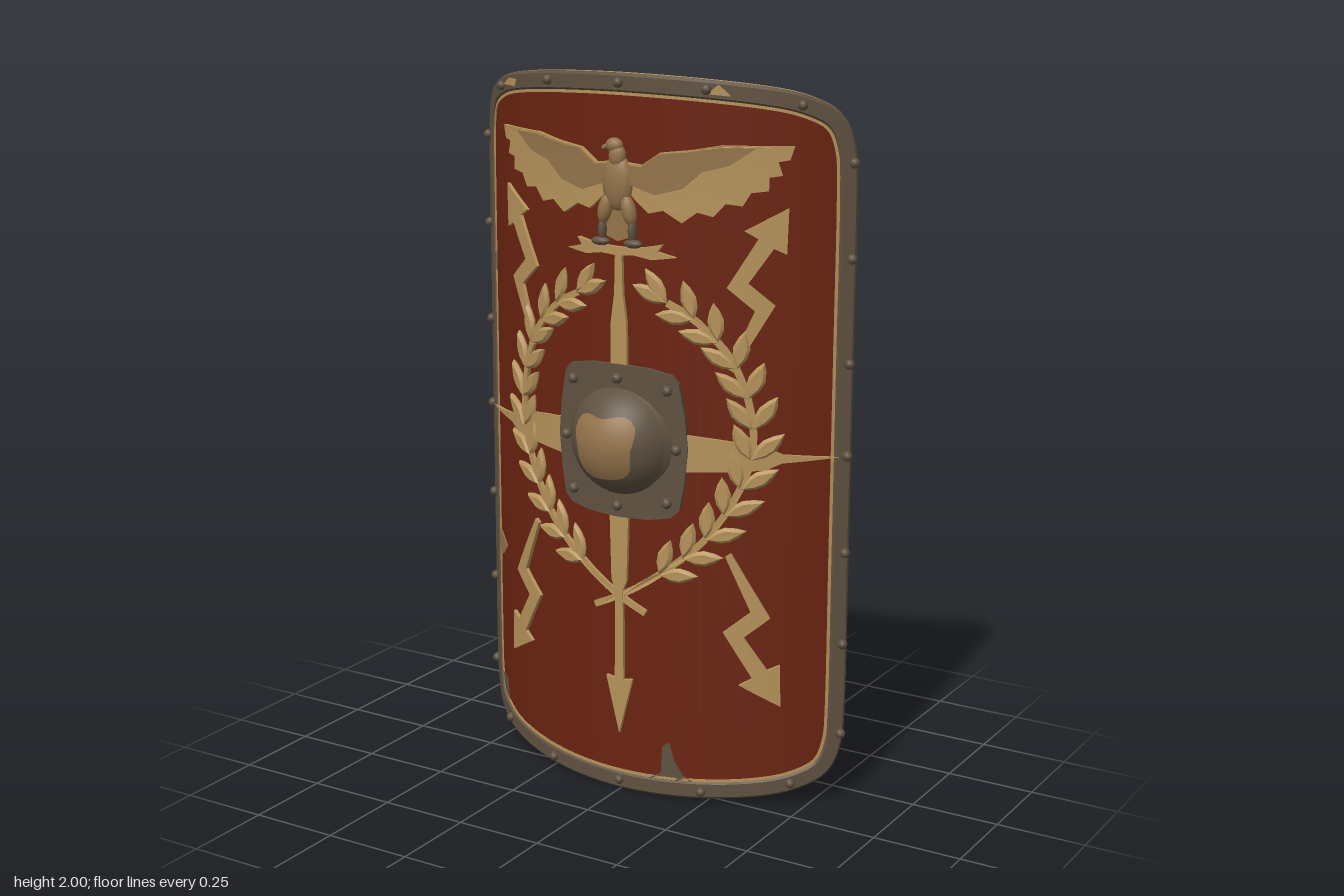
import * as THREE from 'three';
import { mergeGeometries, toCreasedNormals } from 'three/addons/utils/BufferGeometryUtils.js';

const R = 0.82, ZC = -0.745; // radius and axis of the curved board
const flat = (x) => R * Math.asin(x / R); // front-view x to distance along the curve
const bend = (u, y, d) => [(R + d) * Math.sin(u / R), y, ZC + (R + d) * Math.cos(u / R)];

export function createModel() {
  const model = new THREE.Group();
  model.name = 'shield';
  const material = (name, color) => Object.assign(new THREE.MeshStandardMaterial({ color }), { name });
  const red = material('red paint', 0x6a2310);
  const gold = material('gold', 0xb5925a);
  const tan = material('dull bronze', 0x94734a);
  const metal = material('dark iron', 0x5f5140);

  const add = (name, geo, mat) => {
    const mesh = new THREE.Mesh(geo, mat);
    mesh.name = name;
    model.add(mesh);
    return mesh;
  };

  // surface through a grid of points, columns to the right and rows downward
  const grid = (cols, rows, at) => {
    const pos = [], index = [];
    for (let i = 0; i <= cols; i++) for (let j = 0; j <= rows; j++) pos.push(...at(i, j));
    for (let i = 0; i < cols; i++) for (let j = 0; j < rows; j++) {
      const a = i * (rows + 1) + j, b = a + rows + 1;
      index.push(a, a + 1, b + 1, a, b + 1, b);
    }
    const geo = new THREE.BufferGeometry();
    geo.setAttribute('position', new THREE.Float32BufferAttribute(pos, 3));
    geo.setIndex(index);
    geo.computeVertexNormals();
    return geo;
  };

  // split every triangle in four
  const split = (pos) => {
    const out = [];
    for (let k = 0; k < pos.length; k += 9) {
      const [a, b, c] = [0, 3, 6].map((o) => [pos[k + o], pos[k + o + 1], pos[k + o + 2]]);
      const mid = (p, q) => p.map((v, n) => (v + q[n]) / 2);
      const ab = mid(a, b), bc = mid(b, c), ca = mid(c, a);
      out.push(...[a, ab, ca, ab, b, bc, ca, bc, c, ab, bc, ca].flat());
    }
    return out;
  };

  // flat outline thickened and wrapped onto the curved board
  const plate = (pts, d0, depth, splits = 2, bevel = 0) => {
    const shape = new THREE.Shape(pts.map(([x, y]) => new THREE.Vector2(flat(x), y)));
    const ext = new THREE.ExtrudeGeometry(shape, {
      depth, bevelEnabled: bevel > 0, bevelSize: bevel, bevelThickness: bevel, bevelOffset: -bevel, bevelSegments: 1,
    });
    let pos = Array.from((ext.index ? ext.toNonIndexed() : ext).attributes.position.array);
    for (let n = 0; n < splits; n++) pos = split(pos);
    for (let k = 0; k < pos.length; k += 3) {
      [pos[k], pos[k + 1], pos[k + 2]] = bend(pos[k], pos[k + 1], pos[k + 2] + d0);
    }
    const geo = new THREE.BufferGeometry();
    geo.setAttribute('position', new THREE.Float32BufferAttribute(pos, 3));
    geo.computeVertexNormals();
    return toCreasedNormals(geo, 0.45);
  };
  const mirror = (pts) => pts.map(([x, y]) => [-x, y]);
  const both = (pts) => [pts, mirror(pts)];
  // raised ornament on the front and its painted silhouette on the back
  const ornament = (name, list, mat, depth = 0.012, splits = 2) => {
    add(name, mergeGeometries(list.map((p) => plate(p, -0.002, depth, splits))), mat);
    add(name + 'Back', mergeGeometries(list.map((p) => plate(p, -0.03, 0.003, splits))), mat);
  };

  // board outline, clockwise from the left side over the top
  const quarter = [[0.577, 1], [0.577, 1.3], [0.577, 1.7], [0.57, 1.83], [0.54, 1.91], [0.47, 1.955], [0.37, 1.978], [0.2, 1.994]];
  const half = [...mirror(quarter), [0, 2], ...quarter.slice().reverse()];
  const top = new THREE.SplineCurve(half.map(([x, y]) => new THREE.Vector2(flat(x), y))).getPoints(80);
  const loop = [...top, ...top.slice(1, -1).reverse().map((p) => new THREE.Vector2(p.x, 2 - p.y))];
  const N = loop.length;
  const inset = (i, w) => {
    const p = loop[i % N];
    const t = loop[(i + 1) % N].clone().sub(loop[(i + N - 1) % N]).normalize();
    return [p.x + t.y * w, p.y - t.x * w];
  };
  const face = (d, back) => grid(80, 1, (i, j) => {
    const [u, y] = inset(back ? 80 - i : i, 0.03);
    return bend(u, j ? 2 - y : y, d);
  });
  add('boardFront', face(0, false), red);
  add('boardBack', face(-0.026, true), red);

  // rim and its thin bright edgings
  const sweep = (profile) => toCreasedNormals(grid(N, profile.length, (i, j) => {
    const [w, d] = profile[j % profile.length];
    return bend(...inset(i, w), d);
  }), 0.6);
  add('rim', sweep([[0.01, -0.03], [0.001, -0.024], [0.001, 0], [0.008, 0.007], [0.045, 0.007], [0.052, 0], [0.062, -0.026], [0.056, -0.03]]), metal);
  add('rimEdgeTrim', sweep([[0.004, -0.019], [0, -0.018], [0, -0.008], [0.004, -0.007]]), gold);
  add('rimInnerTrim', sweep([[0.05, -0.002], [0.05, 0.003], [0.058, 0.003], [0.058, -0.002]]), gold);

  // rivets along the rim and around the boss plate
  const rivet = (x, y, d, r) => {
    const geo = new THREE.SphereGeometry(r, 10, 6);
    geo.translate(...bend(flat(x), y, d));
    return geo;
  };
  const rimRivets = [[0, 1.975], [0, 0.03]];
  for (const s of [-1, 1]) {
    for (const y of [1.78, 1.53, 1.25, 1, 0.73, 0.47, 0.21]) rimRivets.push([s * 0.566, y]);
    for (const [x, y] of [[0.24, 1.967], [0.46, 1.93]]) rimRivets.push([s * x, y], [s * x, 2 - y]);
  }
  add('rimRivets', mergeGeometries(rimRivets.map(([x, y]) => rivet(x, y, 0.01, 0.014))), metal);
  const plateRivets = [[0, 1.19], [0, 0.835], [0.17, 1.01], [-0.17, 1.01], [0.145, 1.17], [-0.145, 1.17], [0.145, 0.86], [-0.145, 0.86]];
  add('bossRivets', mergeGeometries(plateRivets.map(([x, y]) => rivet(x, y, 0.017, 0.015))), metal);

  // boss plate with bowed sides, and the dome
  const bowed = [[0, 1.228], [0.09, 1.224], [0.155, 1.212], [0.175, 1.19], [0.192, 1.1], [0.2, 1.01], [0.192, 0.92], [0.178, 0.84], [0.155, 0.818], [0.09, 0.806], [0, 0.802]];
  const plateOutline = [...bowed, ...mirror(bowed.slice(1, -1)).reverse()];
  add('bossPlate', plate(plateOutline, -0.002, 0.016, 3), metal);
  add('bossPlateBack', plate(plateOutline, -0.032, 0.005, 3), metal);
  const domeR = 0.163, domeZ = 0.183 - domeR, bossY = 1.015;
  const arc = Array.from({ length: 13 }, (_, k) => {
    const a = 0.38 + (k / 12) * (Math.PI / 2 - 0.38);
    return new THREE.Vector2(Math.max(0, domeR * Math.cos(a)), domeR * Math.sin(a));
  });
  const dome = new THREE.LatheGeometry([new THREE.Vector2(0.168, 0.03), new THREE.Vector2(0.16, 0.055), ...arc], 36);
  add('bossDome', dome.rotateX(Math.PI / 2).translate(0, bossY, domeZ), metal);
  // worn patch on the dome
  add('bossWear', grid(32, 6, (i, j) => {
    const a = -(i / 32) * Math.PI * 2, reach = 0.094 + 0.01 * Math.cos(4 * a + 3) + 0.007 * Math.sin(3 * a);
    const r = reach * (1 - j / 6);
    return [r * Math.cos(a), bossY + r * Math.sin(a), domeZ + Math.sqrt(domeR * domeR - r * r) + 0.002];
  }), tan);

  // spear shafts and cross arms around the boss
  ornament('upperShaft', [[[-0.026, 1.2], [0.026, 1.2], [0.024, 1.34], [0.013, 1.42], [0.01, 1.54], [-0.01, 1.54], [-0.013, 1.42], [-0.024, 1.34]]], gold);
  ornament('lowerSpear', [[[0.03, 0.83], [0.024, 0.62], [0.012, 0.59], [0.014, 0.33], [0.042, 0.335], [0, 0.17], [-0.042, 0.335], [-0.014, 0.33], [-0.012, 0.59], [-0.024, 0.62], [-0.03, 0.83]]], gold);
  ornament('crossArms', both([[0.18, 1.052], [0.27, 1.045], [0.39, 1.03], [0.43, 1.008], [0.55, 0.998], [0.43, 0.985], [0.39, 0.965], [0.27, 0.955], [0.18, 0.948]]), gold);

  // four zigzag bolts with arrowheads
  const bolt = [[0.435, 1.665], [0.432, 1.545], [0.403, 1.56], [0.345, 1.467], [0.408, 1.41], [0.312, 1.23], [0.298, 1.24], [0.362, 1.395], [0.294, 1.455], [0.368, 1.585], [0.335, 1.605]];
  const boltLow = bolt.map(([x, y]) => [x, 1.96 - y]);
  ornament('bolts', [...both(bolt), ...both(boltLow)], gold);

  // laurel wreath: a stem on each side with pairs of leaves
  const stem = new THREE.SplineCurve([[-0.08, 0.535], [0.02, 0.585], [0.13, 0.66], [0.25, 0.77], [0.34, 0.93], [0.362, 1.08], [0.315, 1.25], [0.22, 1.36], [0.14, 1.405]].map((p) => new THREE.Vector2(...p)));
  const leaf = (p, a, len, wid) => [[0, 0], [0.3, 0.42], [0.55, 0.5], [0.8, 0.3], [1, 0], [0.8, -0.3], [0.55, -0.5], [0.3, -0.42]].map(([l, w]) => [
    p.x + Math.cos(a) * l * len - Math.sin(a) * w * wid, p.y + Math.sin(a) * l * len + Math.cos(a) * w * wid]);
  const leaves = [], backLeaves = [];
  for (let k = 0; k <= 11; k++) {
    const t = 0.2 + 0.8 * (k / 11), p = stem.getPointAt(t), dir = stem.getTangentAt(t);
    const a = Math.atan2(dir.y, dir.x);
    for (const turn of k === 11 ? [-0.45, 0.1] : [-0.6, 0.6]) {
      leaves.push(...both(leaf(p, a + turn, 0.108, 0.042)));
      backLeaves.push(...both(leaf(p, a + turn, 0.108, 0.055)));
    }
  }
  add('wreathLeaves', mergeGeometries(leaves.map((p) => plate(p, 0.004, 0.004, 0, 0.008))), gold);
  add('wreathLeavesBack', mergeGeometries(backLeaves.map((p) => plate(p, -0.03, 0.003, 0))), gold);
  const line = stem.getSpacedPoints(24);
  const side = (w) => line.map((p, k) => {
    const t = stem.getTangentAt(k / 24);
    return [p.x - t.y * w, p.y + t.x * w];
  });
  ornament('wreathStems', both([...side(0.009), ...side(-0.009).reverse()]), gold, 0.012, 1);

  // bird: wings, shoulder feathers, body, head, legs and perch
  const wing = [[0.02, 1.77], [0.07, 1.765], [0.12, 1.8], [0.2, 1.81], [0.28, 1.825], [0.445, 1.825], [0.435, 1.79], [0.41, 1.785], [0.42, 1.75], [0.39, 1.745], [0.39, 1.71], [0.35, 1.705], [0.33, 1.67], [0.29, 1.675], [0.26, 1.64], [0.22, 1.65], [0.18, 1.62], [0.13, 1.65], [0.09, 1.64], [0.02, 1.7]];
  ornament('wings', both(wing), gold, 0.014);
  const coverts = [[0.02, 1.765], [0.07, 1.76], [0.12, 1.797], [0.2, 1.806], [0.28, 1.82], [0.36, 1.82], [0.3, 1.775], [0.23, 1.755], [0.18, 1.71], [0.11, 1.69], [0.02, 1.72]];
  add('shoulderFeathers', mergeGeometries(both(coverts).map((p) => plate(p, 0.01, 0.01))), tan);
  const blob = (name, mat, [x, y, z], [sx, sy, sz], tilt = 0) => {
    const mesh = add(name, new THREE.SphereGeometry(1, 14, 10), mat);
    mesh.position.set(x, y, z);
    mesh.scale.set(sx, sy, sz);
    mesh.rotation.z = tilt;
  };
  blob('birdBody', tan, [0, 1.715, 0.085], [0.046, 0.075, 0.026]);
  blob('birdNeck', tan, [0, 1.785, 0.088], [0.024, 0.035, 0.02]);
  blob('birdHead', tan, [-0.008, 1.813, 0.09], [0.025, 0.02, 0.018]);
  blob('birdBeak', tan, [-0.034, 1.808, 0.09], [0.015, 0.007, 0.008], 0.4);
  for (const s of [-1, 1]) {
    blob('birdThigh', tan, [s * 0.036, 1.645, 0.09], [0.02, 0.042, 0.02], s * 0.25);
    blob('birdLeg', metal, [s * 0.046, 1.59, 0.088], [0.012, 0.035, 0.015]);
    blob('birdClaw', metal, [s * 0.05, 1.558, 0.092], [0.028, 0.012, 0.016]);
  }
  ornament('birdTail', [[[-0.025, 1.68], [0.025, 1.68], [0.045, 1.575], [0, 1.56], [-0.045, 1.575]]], tan, 0.014, 1);
  ornament('perch', both([[0, 1.545], [0.07, 1.548], [0.13, 1.56], [0.115, 1.54], [0.165, 1.528], [0.1, 1.518], [0.05, 1.526], [0, 1.522]]), gold, 0.016, 1);

  // worn chips beside and on the rim
  const chips = [
    [metal, [[0.08, 0.045], [0.125, 0.07], [0.13, 0.15], [0.15, 0.165], [0.165, 0.11], [0.19, 0.07], [0.23, 0.05]], 0.001],
    [metal, [[-0.552, 1.48], [-0.53, 1.45], [-0.533, 1.4], [-0.552, 1.385]], 0.001],
    [tan, [[-0.55, 0.63], [-0.52, 0.62], [-0.485, 0.59], [-0.51, 0.56], [-0.55, 0.54]], 0.001],
    [metal, [[-0.55, 0.19], [-0.5, 0.17], [-0.49, 0.12], [-0.44, 0.06], [-0.53, 0.09]], 0.001],
    [gold, [[-0.45, 1.935], [-0.42, 1.955], [-0.38, 1.955], [-0.39, 1.935]], 0.007],
    [gold, [[0.24, 1.955], [0.27, 1.98], [0.3, 1.95]], 0.007],
  ];
  for (const [mat, pts, d] of chips) add('wornChip', plate(pts, d - 0.002, 0.004, 1), mat);
  return model;
}
